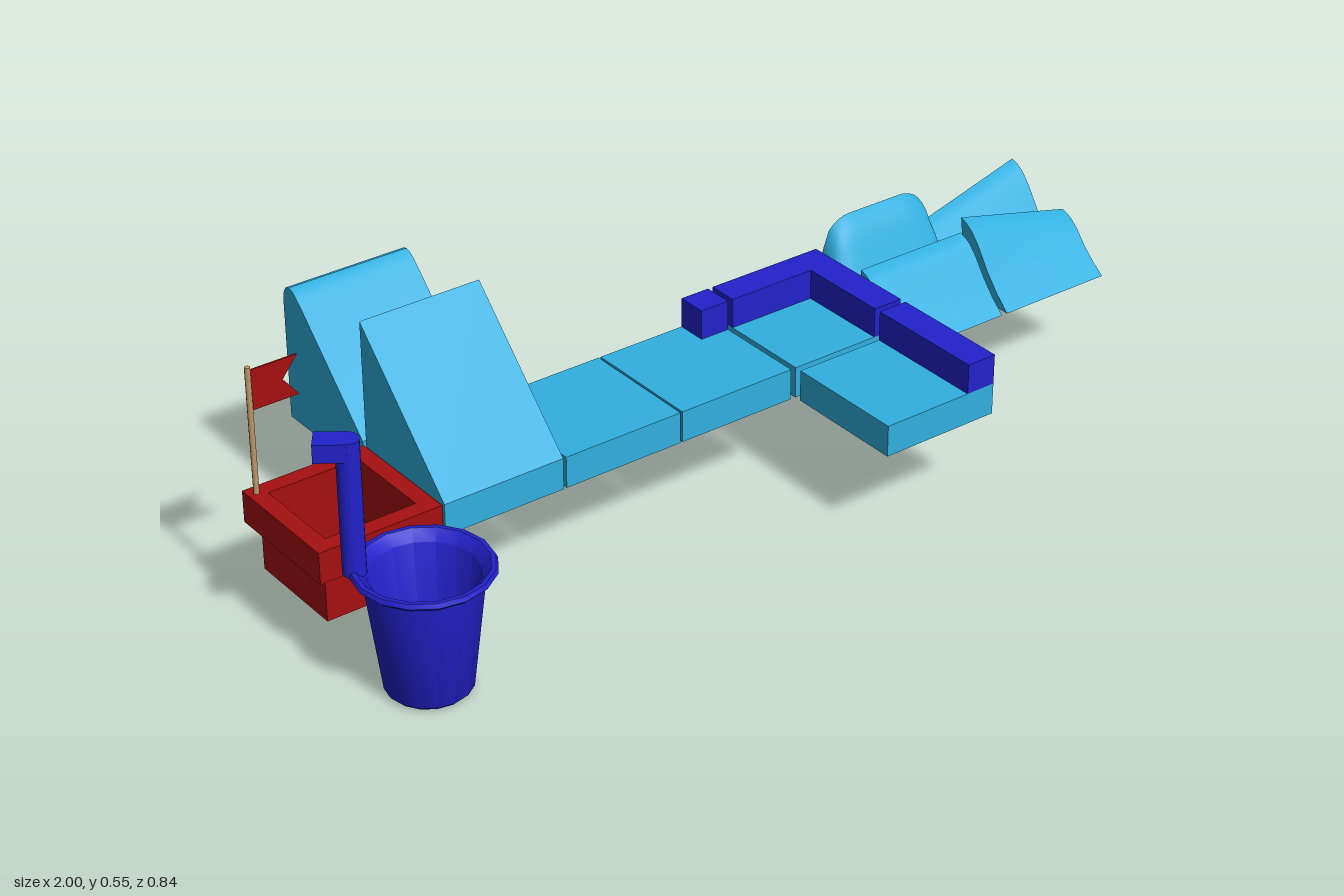
import * as THREE from 'three';
import { toCreasedNormals } from 'three/addons/utils/BufferGeometryUtils.js';

const mat = (name, color, side = THREE.FrontSide) => {
  const m = new THREE.MeshStandardMaterial({ color, side });
  m.name = name;
  return m;
};

export function createModel() {
  const model = new THREE.Group();
  model.name = 'obstacleCourse';
  const sky = mat('skyBlue', 0x32b0e0);
  const blue = mat('deepBlue', 0x2222cc);
  const red = mat('red', 0xa60f0f);
  const wood = mat('wood', 0xc09a6b);

  const Y0 = 0.203, Y1 = 0.272, Y2 = 0.338; // track bottom, track top, wall top
  const ZF = 0.133, ZB = -0.14;             // front and back of the main row

  const add = (name, geo, material, x = 0, y = 0, z = 0) => {
    const mesh = new THREE.Mesh(geo, material);
    mesh.name = name;
    mesh.position.set(x, y, z);
    model.add(mesh);
    return mesh;
  };
  // Box given by its limits
  const box = (name, m, x0, x1, y0, y1, z0, z1) =>
    add(name, new THREE.BoxGeometry(x1 - x0, y1 - y0, z1 - z0), m, (x0 + x1) / 2, (y0 + y1) / 2, (z0 + z1) / 2);

  // Solid through [z, y] outlines (front foot, over the crest, back foot) at stations along x
  const loft = (name, stations) => {
    const pos = [];
    const tri = (...p) => p.forEach(v => pos.push(...v));
    const at = (s, j) => {
      const [z, y] = s.pts[j % s.pts.length];
      return [s.x, y, z];
    };
    const n = stations[0].pts.length;
    for (let i = 0; i < stations.length - 1; i++) {
      const a = stations[i], b = stations[i + 1];
      for (let j = 0; j < n; j++) {
        tri(at(a, j), at(b, j), at(b, j + 1));
        tri(at(a, j), at(b, j + 1), at(a, j + 1));
      }
    }
    const first = stations[0], last = stations[stations.length - 1];
    const mid = s => [s.x, Y0, (s.pts[0][0] + s.pts[n - 1][0]) / 2];
    for (let j = 0; j < n - 1; j++) {
      tri(mid(first), at(first, j), at(first, j + 1));
      tri(mid(last), at(last, j + 1), at(last, j));
    }
    const geo = new THREE.BufferGeometry();
    geo.setAttribute('position', new THREE.Float32BufferAttribute(pos, 3));
    add(name, toCreasedNormals(geo, 0.6), sky);
  };

  // Flat track tiles
  [[-0.41, -0.135], [-0.13, 0.143], [0.155, 0.428]].forEach(([a, b]) => box('trackTile', sky, a, b, Y0, Y1, ZB, ZF));
  box('sideTrackTile', sky, 0.155, 0.428, Y0, Y1, 0.148, 0.42);

  // Bumper walls on the tiles
  box('cornerBumper', blue, 0.075, 0.143, Y1, Y2, ZB, -0.073);
  box('backBumper', blue, 0.155, 0.36, Y1, Y2, ZB, -0.073);
  box('endBumper', blue, 0.36, 0.428, Y1, Y2, ZB, ZF);
  box('sideBumper', blue, 0.36, 0.428, Y1, Y2, 0.148, 0.42);

  // Steep ramp and the rounded ramp behind it
  const ramp = (name, pts) => loft(name, [{ x: -0.69, pts }, { x: -0.417, pts }]);
  ramp('wedgeRamp', [[ZF, Y0], [ZF, Y1], [-0.138, 0.545], [-0.138, Y0]]);
  ramp('roundedRamp', [[-0.15, Y0], [-0.15, 0.274], [-0.355, 0.478], [-0.37, 0.491], [-0.383, 0.501],
    [-0.396, 0.505], [-0.408, 0.501], [-0.416, 0.49], [-0.42, 0.474], [-0.42, Y0]]);

  // Wave outline: foot at z0, given crest height and crest setback
  const wave = (z0, h, lean) => {
    const front = [[0, 0], [0.22, 0.2], [0.43, 0.44], [0.64, 0.74], [0.79, 0.9], [0.9, 0.965], [1, 1]];
    const pts = front.map(([u, v]) => [z0 - u * lean, Y0 + v * h]);
    for (const v of [0.75, 0.5, 0.25, 0]) {
      pts.push([z0 - (0.143 + (lean - 0.143) * v * v), Y0 + v * h]);
    }
    return pts;
  };

  // Twin waves, the back one with rounded shoulders
  loft('frontWave', [0.44, 0.713].map(x => ({ x, pts: wave(ZF, 0.138, 0.14) })));
  loft('domedWave', Array.from({ length: 21 }, (_, i) => {
    const t = i / 20;
    const d = THREE.MathUtils.clamp(1 - Math.min(t, 1 - t) / 0.25, 0, 1);
    return { x: 0.44 + 0.273 * t, pts: wave(-0.008, 0.137 + 0.062 * Math.sqrt(1 - d * d), 0.122) };
  }));

  // Twisted waves, sloping in opposite directions
  const twisted = (name, z0, from, to) => loft(name, Array.from({ length: 9 }, (_, i) => {
    const t = i / 8, k = from + (to - from) * t;
    return { x: 0.727 + 0.273 * t, pts: wave(z0, 0.107 + 0.056 * k, 0.133 + 0.023 * k) };
  }));
  twisted('fallingWave', ZF, 1, 0);
  twisted('risingWave', -0.009, 0, 1);

  // Square cup: wide collar, narrower well and floor
  const ring = (name, half, hole, y0, y1) => {
    const square = (P, r) => new P([[-r, -r], [r, -r], [r, r], [-r, r]].map(p => new THREE.Vector2(...p)));
    const shape = square(THREE.Shape, half);
    shape.holes.push(square(THREE.Path, hole));
    const geo = new THREE.ExtrudeGeometry(shape, { depth: y1 - y0, bevelEnabled: false });
    geo.rotateX(-Math.PI / 2);
    add(name, geo, red, -0.83, y0, -0.004);
  };
  ring('cupCollar', 0.136, 0.1, Y0, Y1);
  ring('cupWell', 0.113, 0.1, 0.1, Y0);
  box('cupFloor', red, -0.932, -0.728, 0.1, 0.112, -0.106, 0.098);

  // Flag with a notched end
  add('flagPole', new THREE.CylinderGeometry(0.006, 0.006, 0.275, 8), wood, -0.948, 0.408, -0.117);
  const cloth = new THREE.Shape([[0, 0], [0.106, 0], [0.072, 0.043], [0.106, 0.086], [0, 0.086]]
    .map(p => new THREE.Vector2(...p)));
  add('flag', new THREE.ExtrudeGeometry(cloth, { depth: 0.004, bevelEnabled: false }), red, -0.948, 0.452, -0.119);

  // Round bucket with a flared lip
  const profile = [[0, 0], [0.078, 0], [0.086, 0.008], [0.115, 0.245], [0.13, 0.253], [0.138, 0.261],
    [0.134, 0.27], [0.125, 0.27], [0.106, 0.25], [0.083, 0.02], [0, 0.02]].map(p => new THREE.Vector2(...p));
  add('bucket', toCreasedNormals(new THREE.LatheGeometry(profile, 16), 0.7), blue, -0.83, 0, 0.275);

  // Spout post on the lip, with a square outlet pointing away
  add('spoutPost', new THREE.CylinderGeometry(0.023, 0.023, 0.286, 16), blue, -0.935, 0.4, 0.205);
  const outlet = add('spoutOutlet', new THREE.BoxGeometry(0.062, 0.038, 0.048), blue, -0.96, 0.524, 0.187);
  outlet.rotation.y = -0.62;

  return model;
}
